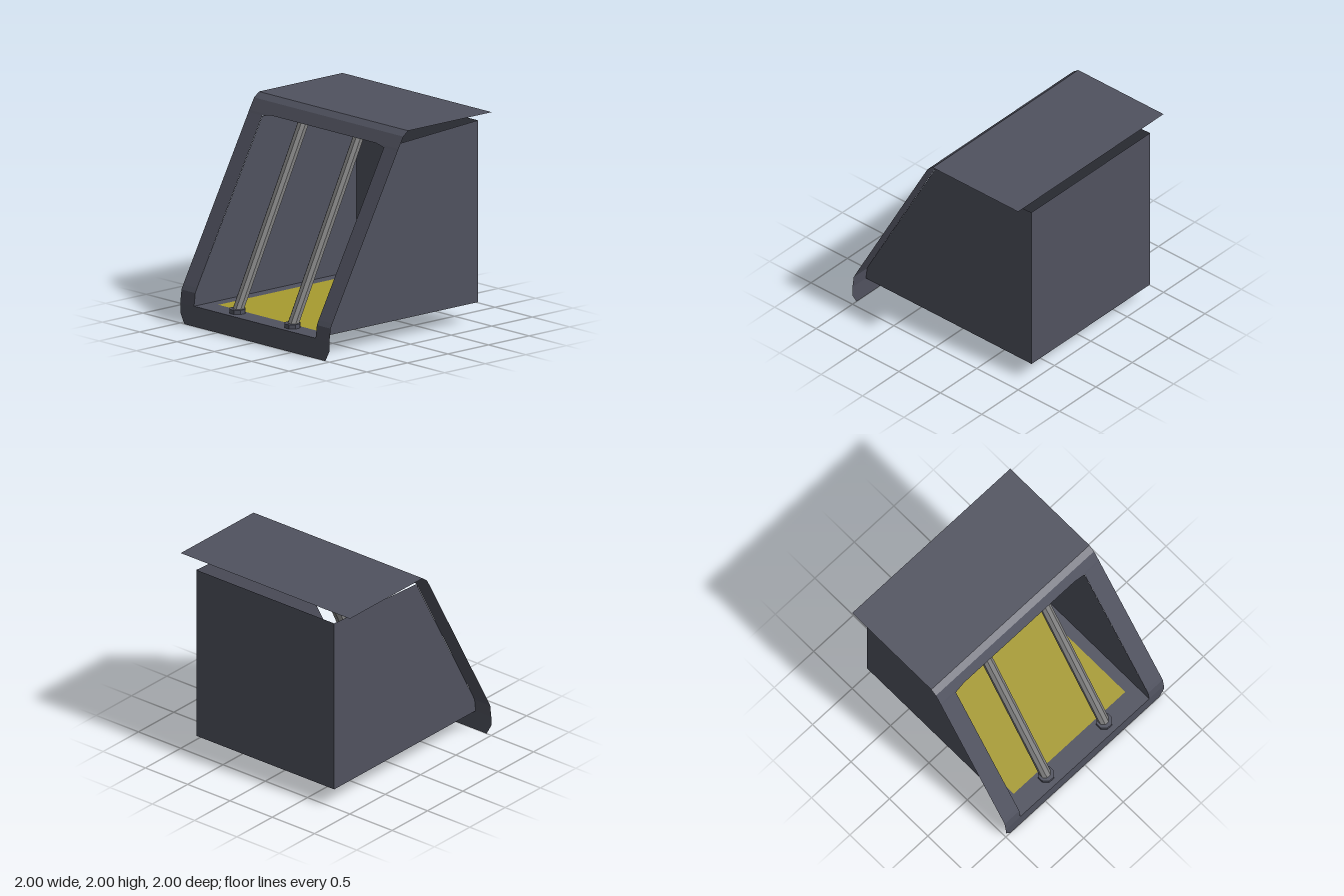
import * as THREE from 'three';

const mat = (color) => new THREE.MeshStandardMaterial({ color, side: THREE.DoubleSide, flatShading: true });
const shell = mat(0x50525f);
const yellow = mat(0xa89c30);
const steel = mat(0x808080);

function part(name, geometry, material) {
  const mesh = new THREE.Mesh(geometry, material);
  mesh.name = name;
  return mesh;
}

const polygon = (points) => new THREE.Shape(points.map(([x, y]) => new THREE.Vector2(x, y)));
const rect = (x, y0, y1) => polygon([[-x, y0], [x, y0], [x, y1], [-x, y1]]);

// Mirrored sheet: each row is [y, z, outer x, inner x]
function sheet(rows) {
  const pos = [];
  for (let i = 0; i < rows.length - 1; i++) {
    const [y0, z0, o0, i0] = rows[i];
    const [y1, z1, o1, i1] = rows[i + 1];
    for (const s of [1, -1]) {
      const a = [s * i0, y0, z0], b = [s * o0, y0, z0];
      const c = [s * o1, y1, z1], d = [s * i1, y1, z1];
      pos.push(...(s > 0 ? [a, d, c, a, c, b] : [a, c, d, a, b, c]).flat());
    }
  }
  const g = new THREE.BufferGeometry();
  g.setAttribute('position', new THREE.Float32BufferAttribute(pos, 3));
  g.computeVertexNormals();
  return g;
}

export function createModel() {
  const model = new THREE.Group();
  const W = 0.815, FLOOR = 0.19;

  // Roof plate
  const roof = part('roof', new THREE.PlaneGeometry(2, 1.03).rotateX(-Math.PI / 2), shell);
  roof.position.set(0, 2, -0.485);
  model.add(roof);

  // Bent front frame: top rail, side rails around the opening, bottom lip
  const frame = new THREE.Group();
  frame.name = 'frontFrame';
  frame.add(
    part('topRail', sheet([[2, 0.03, 1, 0], [1.955, 0.09, 1, 0], [1.85, 0.15, 1, 0]]), shell),
    part('sideRails', sheet([
      [1.85, 0.15, 1, 0.7], [1.83, 0.16, 1, W], [0.355, 0.963, 1, W],
      [0.31, 0.985, 1, W], [FLOOR, 1, 1, W],
    ]), shell),
    part('bottomLip', sheet([[FLOOR, 1, 1, 0], [0.1, 1, 1, 0], [0, 1, 0.945, 0]]), shell),
  );
  model.add(frame);

  // Side walls, drawn as (z, y)
  const wall = polygon([[-1, FLOOR], [1, FLOOR], [0.985, 0.31], [0.963, 0.355], [0.16, 1.825], [-1, 1.89]]);
  for (const [name, s] of [['leftWall', 1], ['rightWall', -1]]) {
    const side = part(name, new THREE.ShapeGeometry(wall).rotateY(-Math.PI / 2), shell);
    side.position.x = s * W;
    model.add(side);
  }

  // Back wall
  const back = part('backWall', new THREE.PlaneGeometry(2 * W, 1.89 - FLOOR).rotateY(Math.PI), shell);
  back.position.set(0, (1.89 + FLOOR) / 2, -1);
  model.add(back);

  // Floor with a coloured panel set into it
  const floorShape = rect(W, -1, 1);
  floorShape.holes.push(rect(0.705, -0.935, 0.8));
  for (const [name, shape, m] of [['floor', floorShape, shell], ['floorPanel', rect(0.705, -0.935, 0.8), yellow]]) {
    const mesh = part(name, new THREE.ShapeGeometry(shape).rotateX(Math.PI / 2), m);
    mesh.position.y = FLOOR;
    model.add(mesh);
  }

  // Leaning octagonal rods with level ends, each in a collar
  const y0 = 0.2, y1 = 1.865, zFoot = 0.875, zHead = 0.045;
  for (const x of [-0.37, 0.367]) {
    const g = new THREE.CylinderGeometry(0.055, 0.055, y1 - y0, 8).rotateY(Math.PI / 8);
    g.translate(x, (y0 + y1) / 2, 0);
    const p = g.attributes.position;
    for (let i = 0; i < p.count; i++) {
      p.setZ(i, p.getZ(i) + THREE.MathUtils.mapLinear(p.getY(i), y0, y1, zFoot, zHead));
    }
    g.computeVertexNormals();
    model.add(part('rod', g, steel));

    const collar = part('rodCollar', new THREE.CylinderGeometry(0.078, 0.078, 0.045, 8).rotateY(Math.PI / 8), shell);
    collar.position.set(x, 0.207, zFoot);
    model.add(collar);
  }

  return model;
}
